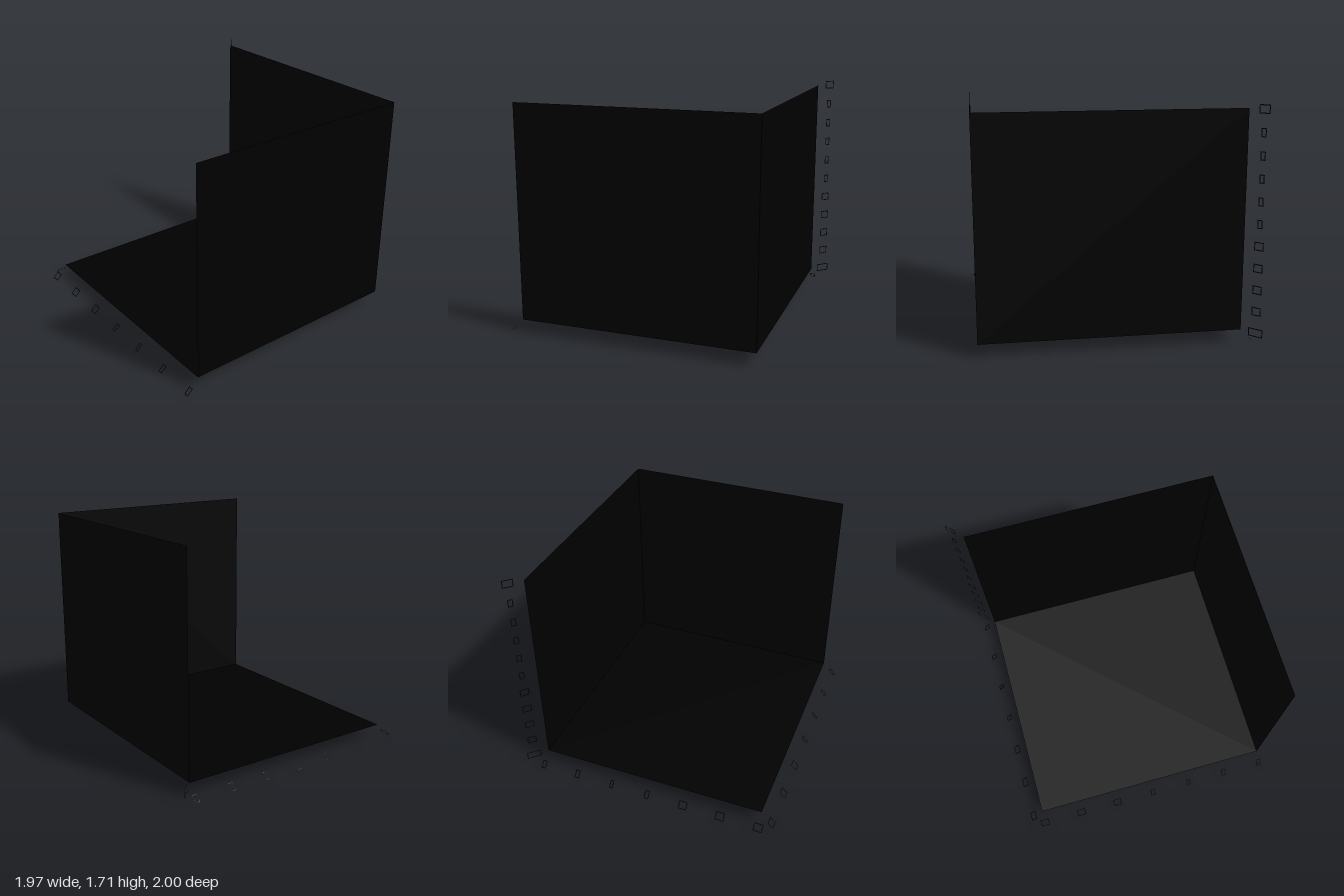
import * as THREE from 'three';

const X0 = -0.885, X1 = 0.865, Y0 = 0.105, Y1 = 1.687, Z0 = -0.882, Z1 = 0.98;
const OFF = 0.08; // distance of the tick plates from the box edges

const black = new THREE.MeshStandardMaterial({ color: 0x000000, side: THREE.DoubleSide });
const ink = new THREE.MeshStandardMaterial({ color: 0x222222, side: THREE.DoubleSide });

function panel(name, w, h, pos, rot) {
  const m = new THREE.Mesh(new THREE.PlaneGeometry(w, h), black);
  m.name = name;
  m.position.set(...pos);
  m.rotation.set(...rot);
  return m;
}

// Blank tick plate: a thin flat outline
function plateGeometry(w, h, t = 0.007) {
  const rect = (P, a, b) => new P([[-a, -b], [a, -b], [a, b], [-a, b]].map(p => new THREE.Vector2(...p)));
  const s = rect(THREE.Shape, w / 2, h / 2);
  s.holes.push(rect(THREE.Path, w / 2 - t, h / 2 - t));
  return new THREE.ShapeGeometry(s);
}

// Row of plates from one point to another, lying in the plane of two directions
function tickRow(name, from, to, widths, across, upward) {
  const row = new THREE.Group();
  row.name = name;
  const u = new THREE.Vector3(...across).normalize();
  const v = new THREE.Vector3(...upward).normalize();
  const basis = new THREE.Matrix4().makeBasis(u, v, u.clone().cross(v));
  const a = new THREE.Vector3(...from), b = new THREE.Vector3(...to);
  widths.forEach((w, i) => {
    const m = new THREE.Mesh(plateGeometry(w, 0.062), ink);
    m.name = 'tickPlate';
    m.quaternion.setFromRotationMatrix(basis);
    m.position.lerpVectors(a, b, i / (widths.length - 1));
    row.add(m);
  });
  return row;
}

export function createModel() {
  const g = new THREE.Group();
  g.name = 'chartBox';
  const w = X1 - X0, h = Y1 - Y0, d = Z1 - Z0;
  const cx = (X0 + X1) / 2, cy = (Y0 + Y1) / 2, cz = (Z0 + Z1) / 2;

  // Three panels meeting in one corner
  g.add(panel('floorPanel', w, d, [cx, Y0, cz], [-Math.PI / 2, 0, 0]));
  g.add(panel('frontPanel', w, h, [cx, cy, Z1], [0, 0, 0]));
  g.add(panel('sidePanel', d, h, [X1, cy, cz], [0, Math.PI / 2, 0]));

  // Tick plates slanting outward from the three open edges
  const side = [0.07, 0.07, 0.065, 0.038, 0.03, 0.038, 0.038];
  const yo = Y0 - OFF;
  g.add(tickRow('widthTicks', [X0, yo, Z0 - OFF], [X1, yo, Z0 - OFF], side, [1, 0, 0], [0, 1, 1]));
  g.add(tickRow('depthTicks', [X0 - OFF, yo, Z0], [X0 - OFF, yo, Z1], side, [0, 0, 1], [1, 1, 0]));
  const tall = [0.11, 0.07, 0.07, 0.07, 0.07, 0.038, 0.038, 0.038, 0.038, 0.038, 0.08];
  g.add(tickRow('heightTicks', [X1 + OFF, Y0, Z0 - OFF], [X1 + OFF, Y1, Z0 - OFF], tall, [1, 0, -1], [0, 1, 0]));
  return g;
}
